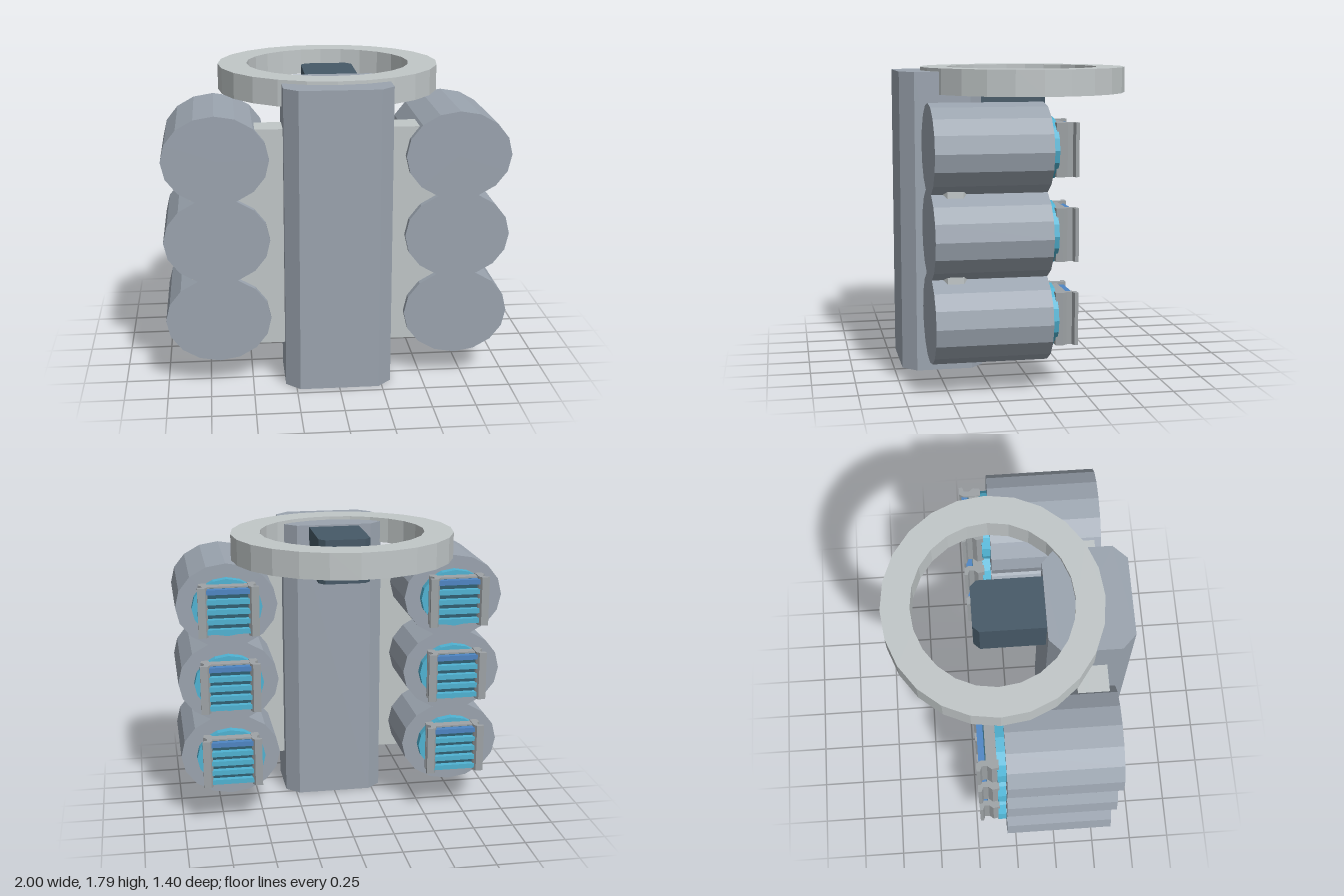
import * as THREE from 'three';

const material = (name, color) => {
  const m = new THREE.MeshStandardMaterial({ color, flatShading: true });
  m.name = name;
  return m;
};

export function createModel() {
  const group = new THREE.Group();
  const steel = material('steel grey', 0x9ba4af);
  const pale = material('pale grey', 0xc1c7c8);
  const slate = material('dark slate', 0x465967);
  const cyan = material('cyan', 0x50b3d3);
  const blue = material('blue', 0x4f86c4);
  const rail = material('rail grey', 0x9ea3a6);
  const teal = material('dark teal', 0x2f5f72);

  const add = (parent, name, geometry, mat, x = 0, y = 0, z = 0) => {
    const mesh = new THREE.Mesh(geometry, mat);
    mesh.name = name;
    mesh.position.set(x, y, z);
    parent.add(mesh);
    return mesh;
  };

  // Upright prism from an outline of [x, z] points between two heights
  const prism = (points, y0, y1, hole) => {
    const shape = new THREE.Shape(points.map(([x, z]) => new THREE.Vector2(x, z)));
    if (hole) shape.holes.push(new THREE.Path(hole.map(([x, z]) => new THREE.Vector2(x, z))));
    const g = new THREE.ExtrudeGeometry(shape, { depth: y1 - y0, bevelEnabled: false });
    return g.rotateX(Math.PI / 2).translate(0, y1, 0);
  };

  const ellipse = (rx, rz, cz, n) => Array.from({ length: n }, (_, i) => {
    const a = (i / n) * Math.PI * 2;
    return [Math.cos(a) * rx, cz + Math.sin(a) * rz];
  });

  // Elliptical cylinder lying along z
  const drum = (rx, ry, z0, z1) => new THREE.CylinderGeometry(1, 1, z1 - z0, 16)
    .rotateX(Math.PI / 2).scale(rx, ry, 1).translate(0, 0, (z0 + z1) / 2);

  // Central column with chamfered corners
  add(group, 'column', prism([
    [-0.23, 0.70], [-0.31, 0.62], [-0.31, 0.29], [-0.23, 0.215],
    [0.23, 0.215], [0.31, 0.29], [0.31, 0.62], [0.23, 0.70],
  ], 0, 1.775), steel);

  // Plate through the column that carries the barrels
  add(group, 'carrierPlate', prism([
    [-0.775, 0.55], [-0.845, 0.505], [-0.845, 0.415], [-0.775, 0.37],
    [0.775, 0.37], [0.845, 0.415], [0.845, 0.505], [0.775, 0.55],
  ], 0.24, 1.53), pale);

  // Ring on top and the block that reaches into it
  add(group, 'topRing', prism(ellipse(0.663, 0.625, -0.075, 24), 1.642, 1.795,
    ellipse(0.49, 0.46, -0.075, 24)), pale);
  add(group, 'ringBlock', prism([
    [-0.155, 0.23], [-0.155, -0.16], [-0.12, -0.197],
    [0.12, -0.197], [0.155, -0.16], [0.155, 0.23],
  ], 1.5, 1.765), slate);

  // Barrels with a vent on the back of each
  const barrelGeo = drum(0.305, 0.257, -0.06, 0.59);
  const collarGeo = drum(0.21, 0.175, -0.11, -0.05);
  const backingGeo = new THREE.BoxGeometry(0.29, 0.29, 0.06);
  const recessGeo = new THREE.BoxGeometry(0.27, 0.27, 0.008);
  const slatGeo = new THREE.BoxGeometry(0.26, 0.03, 0.038);
  const railProfile = [
    [0.12, -0.10], [0.165, -0.10], [0.172, -0.14], [0.152, -0.165], [0.152, -0.195],
    [0.18, -0.205], [0.18, -0.225], [0.135, -0.225], [0.12, -0.20],
  ];
  const railGeos = [1, -1].map((s) =>
    prism(railProfile.map(([x, z]) => [x * s, z]), -0.15, 0.15));

  for (const side of [1, -1]) {
    for (const y of [0.412, 0.888, 1.362]) {
      const unit = new THREE.Group();
      unit.name = 'barrelUnit';
      unit.position.set(side * 0.695, y, 0);
      group.add(unit);
      add(unit, 'barrel', barrelGeo, steel);
      add(unit, 'collar', collarGeo, cyan);
      add(unit, 'ventBacking', backingGeo, rail, 0, 0, -0.14);
      add(unit, 'ventRecess', recessGeo, teal, 0, 0, -0.172);
      railGeos.forEach((g) => add(unit, 'ventRail', g, rail));
      for (let i = 0; i < 5; i++) {
        add(unit, 'ventSlat', slatGeo, i === 4 ? blue : cyan, 0, -0.12 + i * 0.06, -0.192);
      }
    }
  }
  return group;
}
